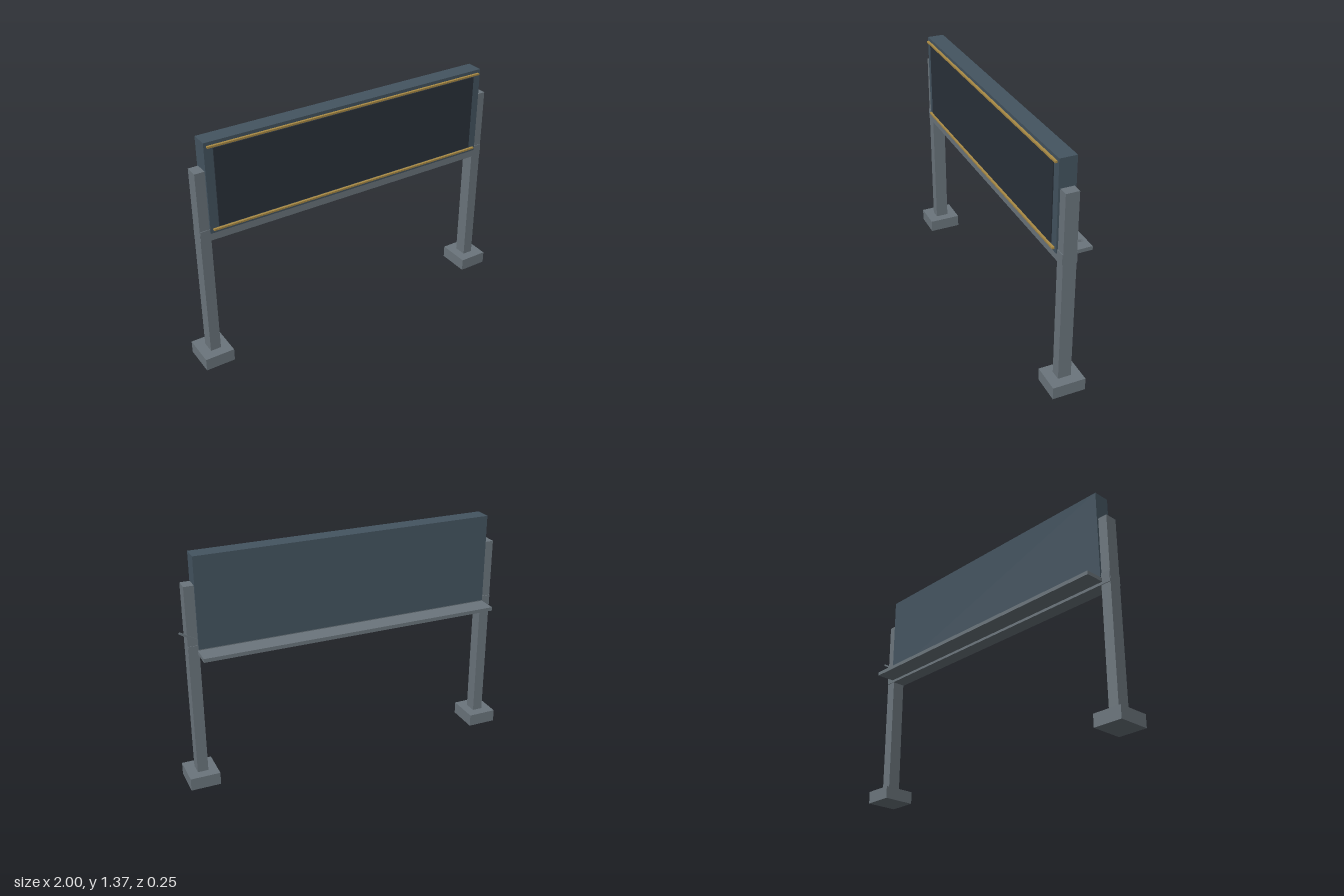
import * as THREE from 'three';

export function createModel() {
  const model = new THREE.Group();
  const mat = (name, color) => {
    const m = new THREE.MeshStandardMaterial({ color });
    m.name = name;
    return m;
  };
  const steel = mat('grey steel', 0x6b757c);
  const casing = mat('blue grey casing', 0x445460);
  const panel = mat('dark panel', 0x2a313a);
  const brass = mat('brass trim', 0xa98a45);

  // Box given by its extents on each axis
  const box = (name, material, [x0, x1], [y0, y1], [z0, z1]) => {
    const mesh = new THREE.Mesh(new THREE.BoxGeometry(x1 - x0, y1 - y0, z1 - z0), material);
    mesh.name = name;
    mesh.position.set((x0 + x1) / 2, (y0 + y1) / 2, (z0 + z1) / 2);
    model.add(mesh);
    return mesh;
  };

  // Footings and posts, mirrored
  for (const [side, s] of [['left', 1], ['right', -1]]) {
    const span = (a, b) => (s > 0 ? [a, b] : [-b, -a]);
    box(side + 'Footing', steel, span(0.826, 1), [0, 0.074], [-0.066, 0.127]);
    box(side + 'Post', steel, span(0.88, 0.942), [0.074, 1.208], [-0.008, 0.069]);
  }

  // Cross beam and rear walkway
  box('crossBeam', steel, [-0.941, 0.941], [0.796, 0.864], [-0.012, 0.073]);
  box('walkway', steel, [-0.89, 0.89], [0.812, 0.834], [-0.127, -0.01]);

  // Display cabinet with its front panel
  box('cabinet', casing, [-0.885, 0.885], [0.842, 1.372], [-0.019, 0.08]);
  box('displayPanel', panel, [-0.835, 0.835], [0.877, 1.335], [0.08, 0.086]);

  // Trim rails above and below the panel
  for (const [name, y] of [['upperTrim', 1.348], ['lowerTrim', 0.866]]) {
    box(name, brass, [-0.87, 0.87], [y - 0.005, y + 0.005], [0.08, 0.094]);
  }

  // Tilted lever on the back of the left post
  const lever = box('lever', steel, [0.883, 0.991], [0.92, 0.93], [-0.015, -0.003]);
  lever.rotation.z = Math.PI / 6;

  return model;
}
